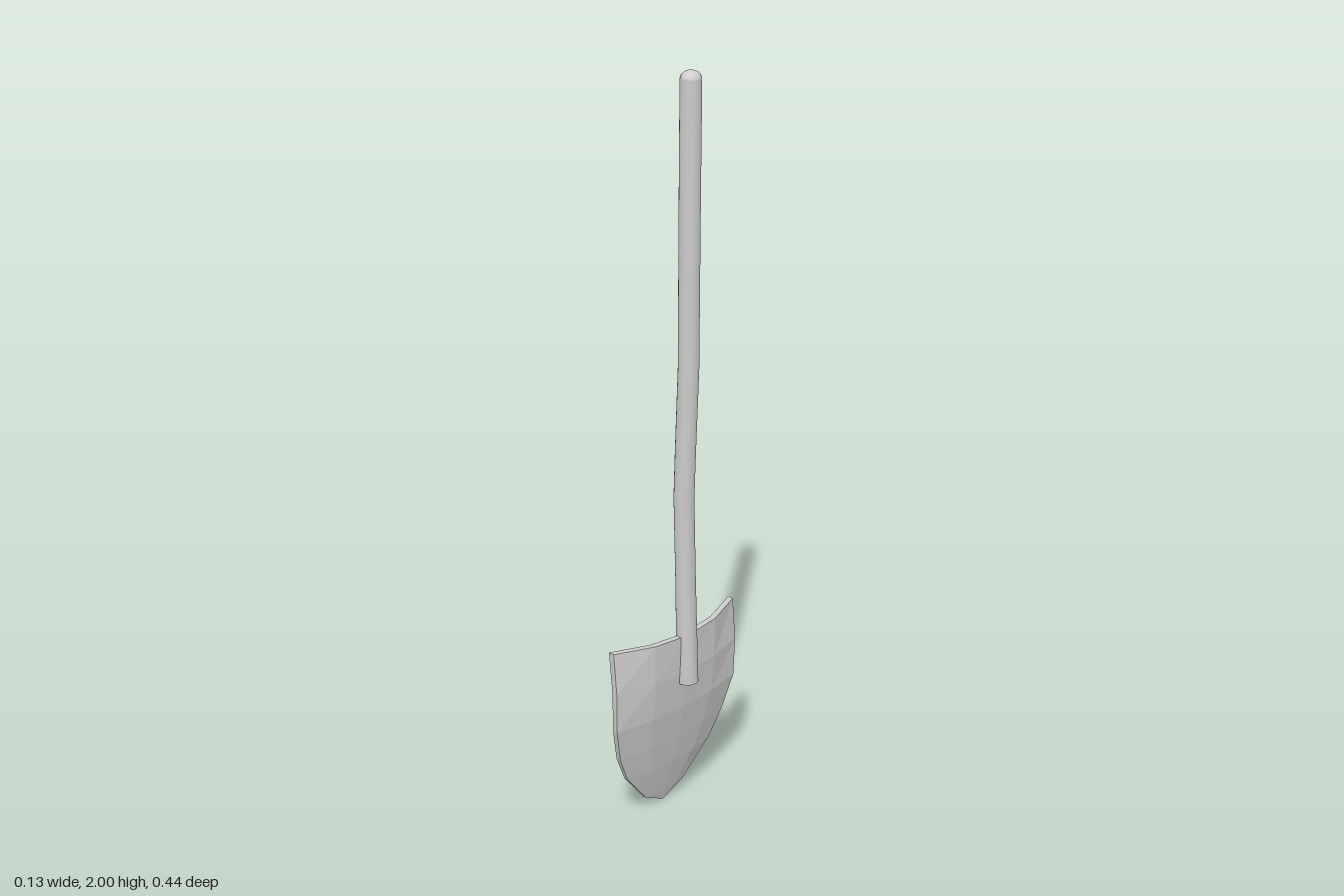
import * as THREE from 'three';

// Blade rows from top to tip: y at edge, y at centre, half width, centre x, edge x, thickness
const ROWS = [
  [0.545, 0.535, 0.222, 0.037, -0.012, 0.017],
  [0.43, 0.43, 0.222, 0.033, -0.002, 0.016],
  [0.32, 0.32, 0.22, 0.02, -0.005, 0.015],
  [0.22, 0.22, 0.193, 0.0, -0.022, 0.014],
  [0.14, 0.14, 0.155, -0.018, -0.035, 0.012],
  [0.04, 0.04, 0.07, -0.046, -0.052, 0.01],
  [0.003, 0.003, 0, -0.058, -0.058, 0.01],
];

// Centre line of the slightly crooked handle: y, x, z
const BEND = [
  [0.4, 0.031, -0.003], [0.7, 0.026, 0], [0.92, 0.022, 0.002],
  [1.05, 0.027, 0.002], [1.27, 0.036, 0.001], [1.7, 0.036, -0.002], [2, 0.036, -0.005],
];

function bendAt(y) {
  let k = 0;
  while (k < BEND.length - 2 && y > BEND[k + 1][0]) k++;
  const [a, b] = [BEND[k], BEND[k + 1]];
  const t = (y - a[0]) / (b[0] - a[0]);
  return [THREE.MathUtils.lerp(a[1], b[1], t), THREE.MathUtils.lerp(a[2], b[2], t)];
}

// Dished blade: a closed ring of outer and inner points per row, joined downwards
function bladeGeometry() {
  const steps = [-1, -0.5, 0, 0.5, 1];
  const n = steps.length * 2;
  const pos = [];
  const idx = [];
  for (const [yEdge, yMid, w, xMid, xEdge, thick] of ROWS) {
    const point = (s, depth) => {
      const a = Math.abs(s);
      const drop = a === 1 ? 1 : a === 0 ? 0 : 0.19;
      pos.push(xMid + (xEdge - xMid) * drop - depth, yMid + (yEdge - yMid) * a, s * w);
    };
    steps.forEach((s) => point(s, 0));
    [...steps].reverse().forEach((s) => point(s, thick));
  }
  const quad = (a, b, c, d) => idx.push(a, b, c, a, c, d);
  for (let i = 0; i < ROWS.length - 1; i++) {
    for (let j = 0; j < n; j++) {
      const k = (j + 1) % n;
      quad(i * n + j, i * n + k, (i + 1) * n + k, (i + 1) * n + j);
    }
  }
  // Top rim
  for (let j = 0; j < steps.length - 1; j++) quad(j, n - 1 - j, n - 2 - j, j + 1);
  const geo = new THREE.BufferGeometry();
  geo.setAttribute('position', new THREE.Float32BufferAttribute(pos, 3));
  geo.setIndex(idx);
  geo.computeVertexNormals();
  return geo;
}

// Round shaft with a domed top, shifted along the bend
function shaftGeometry() {
  const r = 0.027;
  const profile = BEND.slice(0, -1).map(([y]) => new THREE.Vector2(y < 0.5 ? 0.029 : r, y));
  for (let i = 0; i <= 5; i++) {
    const a = (i / 5) * Math.PI / 2;
    profile.push(new THREE.Vector2(r * Math.cos(a), 1.978 + 0.022 * Math.sin(a)));
  }
  const geo = new THREE.LatheGeometry(profile, 12);
  const p = geo.attributes.position;
  for (let i = 0; i < p.count; i++) {
    const [dx, dz] = bendAt(p.getY(i));
    p.setX(i, p.getX(i) + dx);
    p.setZ(i, p.getZ(i) + dz);
  }
  return geo;
}

export function createModel() {
  const group = new THREE.Group();
  group.name = 'shovel';
  const add = (name, geo, flat = false) => {
    const mesh = new THREE.Mesh(geo, new THREE.MeshStandardMaterial({ color: 0xcccccc, flatShading: flat }));
    mesh.name = name;
    group.add(mesh);
    return mesh;
  };

  add('blade', bladeGeometry(), true);
  add('handle', shaftGeometry());

  // Flat lower end of the handle
  const end = add('handleEnd', new THREE.CircleGeometry(0.029, 12));
  end.rotation.x = Math.PI / 2;
  end.position.set(BEND[0][1], BEND[0][0], BEND[0][2]);

  return group;
}
